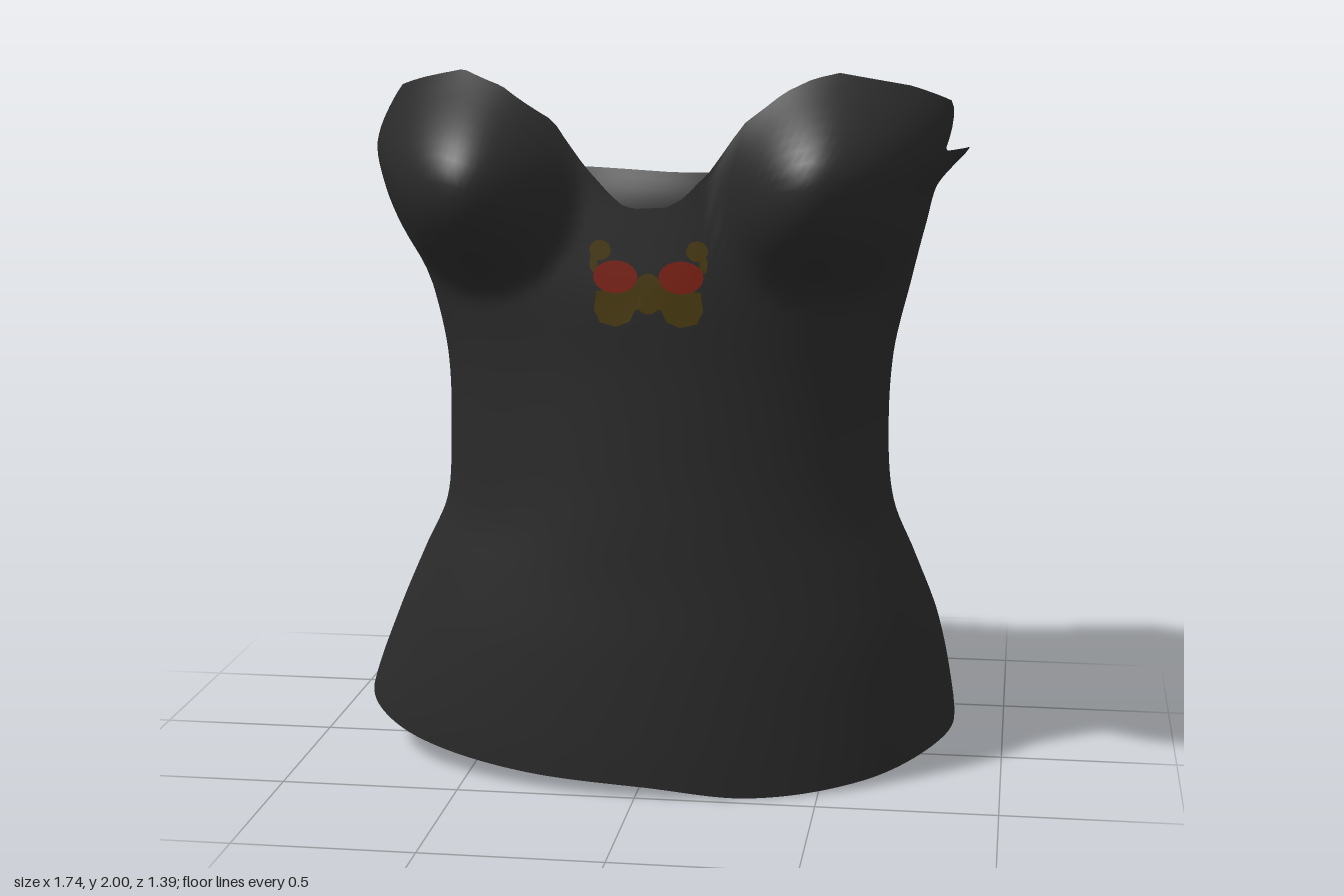
import * as THREE from 'three';

const CX = 0.03;

// Body profile rows: height, right x, left x, front z, back z, widest z, front and back roundness
const PROFILE = [
  [0.00, -0.88, 0.865, 0.495, -0.70, -0.07, 1.95, 2.6],
  [0.15, -0.865, 0.855, 0.50, -0.675, -0.06, 1.97, 2.6],
  [0.40, -0.77, 0.81, 0.50, -0.535, -0.02, 2.05, 2.4],
  [0.60, -0.68, 0.74, 0.495, -0.415, 0.01, 2.12, 2.2],
  [0.75, -0.61, 0.68, 0.495, -0.402, 0.03, 2.15, 2.15],
  [0.92, -0.595, 0.66, 0.495, -0.424, 0.03, 2.15, 2.15],
  [1.18, -0.60, 0.668, 0.50, -0.453, 0.02, 2.2, 2.3],
  [1.40, -0.65, 0.716, 0.51, -0.51, 0.0, 2.3, 2.6],
  [1.55, -0.70, 0.752, 0.505, -0.54, 0.0, 2.5, 2.9],
  [1.68, -0.745, 0.79, 0.50, -0.585, 0.0, 2.6, 3.2],
  [1.78, -0.775, 0.88, 0.50, -0.60, 0.0, 2.6, 3.2],
  [1.92, -0.76, 0.98, 0.49, -0.60, 0.0, 2.6, 3.2],
  [2.00, -0.74, 0.99, 0.48, -0.60, 0.0, 2.6, 3.2],
];

// Edge heights by angle in degrees: 0 = left, 90 = front, 180 = right, 270 = back
const TOP_EDGE = [
  [0, 1.71], [8, 1.735], [14, 1.785], [31, 1.79], [38.5, 1.92], [48, 1.965], [60, 2.0],
  [64, 1.985], [68.3, 1.95], [73.6, 1.87], [77.8, 1.74], [82, 1.67], [85.4, 1.645],
  [92.2, 1.64], [94.5, 1.65], [97, 1.68], [101.3, 1.75], [107.2, 1.87], [117.6, 1.96],
  [126.8, 2.0], [137, 1.975], [145.6, 1.95], [151.4, 1.87], [156, 1.81], [161, 1.76],
  [162.5, 1.69], [180, 1.66], [195, 1.66], [215, 1.67], [228, 1.67], [240, 1.65],
  [265, 1.635], [275, 1.635], [288, 1.69], [297, 1.705], [309, 1.67], [320, 1.69],
  [338, 1.675], [347, 1.68], [360, 1.71],
];
const HEM = [
  [0, 0.1], [20, 0.075], [45, 0.025], [70, 0.005], [90, 0.035], [113, 0.05], [140, 0.085],
  [160, 0.125], [180, 0.16], [230, 0.155], [250, 0.13], [270, 0.115], [290, 0.12],
  [312, 0.135], [340, 0.12], [360, 0.1],
];

// Cups: peak position and the outward direction along x
const CUPS = [{ x: 0.53, y: 1.70, out: 1 }, { x: -0.46, y: 1.70, out: -1 }];
const CUP_DEPTH = 0.26, CUP_HEIGHT = 0.33, CUP_INNER = 0.32, CUP_OUTER = 0.42;

// Table lookup, straight or eased through the points
function lookup(table, t, col, smooth) {
  let i = 0;
  while (i < table.length - 2 && t > table[i + 1][0]) i++;
  const p = table[i], q = table[i + 1], h = q[0] - p[0];
  const f = THREE.MathUtils.clamp((t - p[0]) / h, 0, 1);
  if (!smooth) return p[col] + (q[col] - p[col]) * f;
  const o = table[Math.max(i - 1, 0)], r = table[Math.min(i + 2, table.length - 1)];
  const m0 = (q[col] - o[col]) / (q[0] - o[0]) * h;
  const m1 = (r[col] - p[col]) / (r[0] - p[0]) * h;
  const f2 = f * f, f3 = f2 * f;
  return (2 * f3 - 3 * f2 + 1) * p[col] + (f3 - 2 * f2 + f) * m0 +
    (3 * f2 - 2 * f3) * q[col] + (f3 - f2) * m1;
}
const profile = (y, col) => lookup(PROFILE, y, col, true);

function bodyPoint(degrees, y) {
  const c = Math.cos(degrees * Math.PI / 180), s = Math.sin(degrees * Math.PI / 180);
  const front = s > 0, midZ = profile(y, 5), power = profile(y, front ? 6 : 7);
  const r = (Math.abs(c) ** power + Math.abs(s) ** power) ** (-1 / power);
  const x = CX + Math.abs(profile(y, c > 0 ? 2 : 1) - CX) * r * c;
  let z = midZ + Math.abs(profile(y, front ? 3 : 4) - midZ) * r * s;
  if (front) {
    for (const cup of CUPS) {
      const dx = x - cup.x;
      const width = dx * cup.out > 0 ? CUP_OUTER : CUP_INNER;
      const d2 = (dx / width) ** 2 + ((y - cup.y) / CUP_HEIGHT) ** 2;
      // Fade toward the side seam so the cup meets the back smoothly
      if (d2 < 1) z += CUP_DEPTH * (1 - d2) ** 1.6 * THREE.MathUtils.smoothstep(s, 0, 0.3);
    }
  } else {
    // Shallow hollow down the upper spine
    z += 0.045 * THREE.MathUtils.smoothstep(y, 1.2, 1.65) * Math.exp(-((x / 0.25) ** 2)) * -s;
  }
  return [x, y, z];
}

// Open shell lofted between the hem and the top edge
function bodyGeometry() {
  const columns = 240, rows = 56, positions = [], index = [];
  for (let j = 0; j <= rows; j++) {
    for (let i = 0; i < columns; i++) {
      const a = i * 360 / columns;
      const low = lookup(HEM, a, 1, true), high = lookup(TOP_EDGE, a, 1, false);
      positions.push(...bodyPoint(a, low + (high - low) * j / rows));
    }
  }
  for (let j = 0; j < rows; j++) {
    for (let i = 0; i < columns; i++) {
      const n = (i + 1) % columns;
      const a = j * columns + i, b = j * columns + n, c = a + columns, d = b + columns;
      index.push(a, c, b, b, c, d);
    }
  }
  const geometry = new THREE.BufferGeometry();
  geometry.setAttribute('position', new THREE.Float32BufferAttribute(positions, 3));
  geometry.setIndex(index);
  geometry.computeVertexNormals();
  return geometry;
}

// Lay a flat geometry on the front of the body
function drape(geometry, offset) {
  const p = geometry.attributes.position;
  for (let i = 0; i < p.count; i++) {
    const x = p.getX(i), y = p.getY(i);
    const t = Math.abs((x - CX) / (profile(y, x > CX ? 2 : 1) - CX));
    const midZ = profile(y, 5), power = profile(y, 6);
    p.setZ(i, midZ + (profile(y, 3) - midZ) * (1 - t ** power) ** (1 / power) + offset);
  }
  geometry.computeVertexNormals();
  return geometry;
}

export function createModel() {
  const group = new THREE.Group();
  const material = (name, color) =>
    new THREE.MeshStandardMaterial({ name, color, side: THREE.DoubleSide });
  const black = material('black fabric', 0x2a2a2a);
  const red = material('dark red print', 0x7c1e0e);
  const olive = material('olive print', 0x493a0d);

  const body = new THREE.Mesh(bodyGeometry(), black);
  body.name = 'bodice';
  group.add(body);

  // Butterfly print, showing on both faces of the cloth
  const print = new THREE.Group();
  print.name = 'butterflyPrint';
  group.add(print);
  const middle = 0.042;
  const add = (name, make, mat, lift) => {
    for (const side of [1, -1]) {
      const mesh = new THREE.Mesh(drape(make(), lift * side), mat);
      mesh.name = name;
      print.add(mesh);
    }
  };
  const oval = (x, y, rx, ry) => () =>
    new THREE.CircleGeometry(1, 20).scale(rx, ry, 1).translate(x, y, 0);

  add('butterflyBody', oval(middle, 1.415, 0.04, 0.055), olive, 0.004);
  for (const m of [1, -1]) {
    add('upperWing', oval(middle + m * 0.088, 1.46, 0.06, 0.044), red, 0.007);
    add('wingTip', oval(middle + m * 0.13, 1.53, 0.029, 0.027), olive, 0.004);
    add('wingEdge', oval(middle + m * 0.147, 1.495, 0.011, 0.025), olive, 0.004);
    const outline = [
      [0.01, 1.44], [0.08, 1.43], [0.14, 1.42], [0.147, 1.37], [0.13, 1.335],
      [0.085, 1.325], [0.05, 1.34], [0.035, 1.37], [0.015, 1.38],
    ].map(([x, y]) => new THREE.Vector2(middle + m * x, y));
    add('lowerWing', () => new THREE.ShapeGeometry(new THREE.Shape(outline)), olive, 0.005);
  }
  return group;
}
